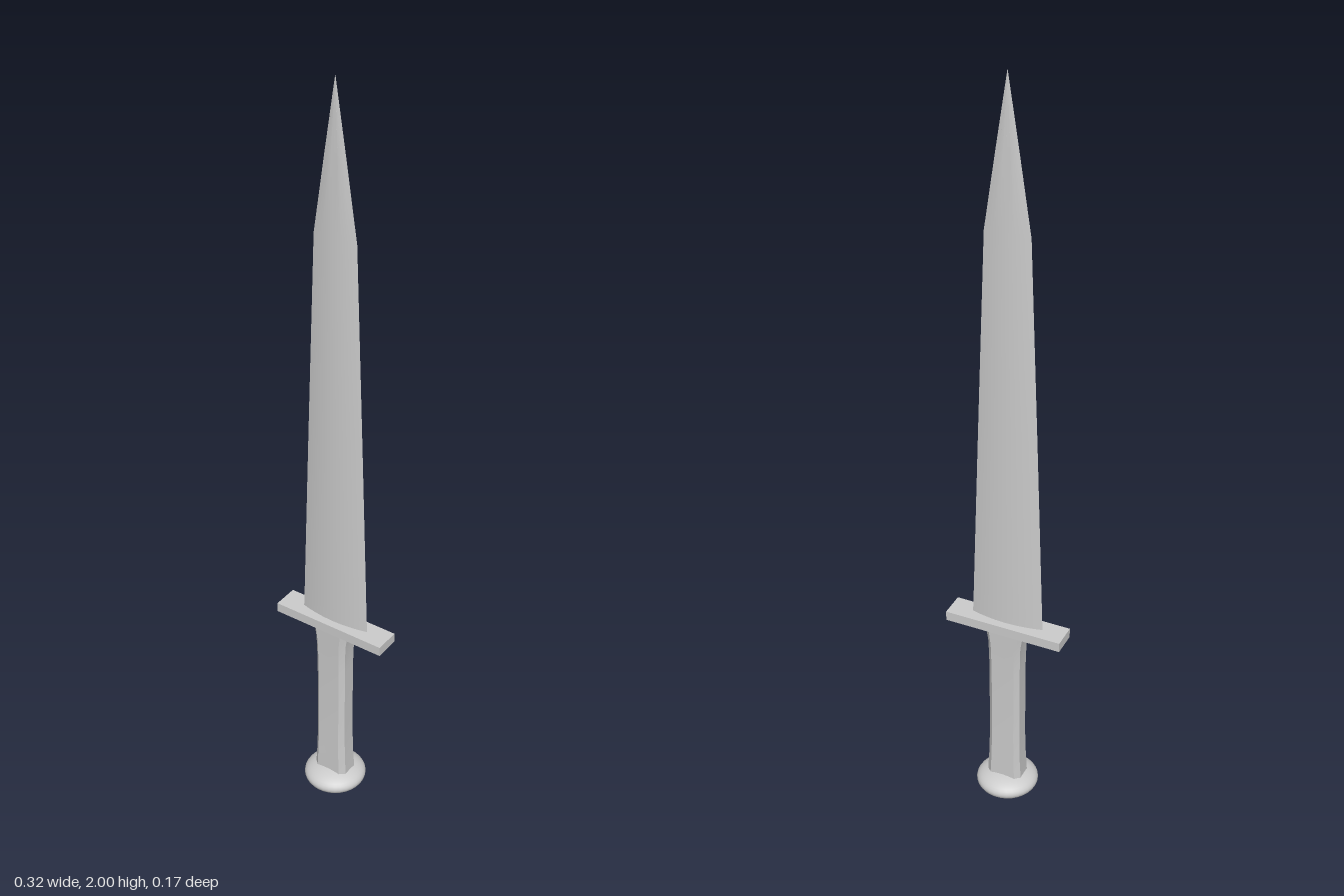
import * as THREE from 'three';
import { toCreasedNormals } from 'three/addons/utils/BufferGeometryUtils.js';

// Skins a closed outline through levels of [y, halfWidth, halfDepth], with end caps.
function loft(outline, levels, crease) {
  const n = outline.length, pos = [], idx = [];
  for (const [y, w, d] of levels)
    for (const [u, v] of outline) pos.push(u * w, y, -v * d);
  for (let i = 0; i < levels.length - 1; i++)
    for (let j = 0; j < n; j++) {
      const a = i * n + j, b = i * n + (j + 1) % n;
      idx.push(a, b, b + n, a, b + n, a + n);
    }
  const top = (levels.length - 1) * n;
  for (let j = 1; j < n - 1; j++) idx.push(0, j + 1, j, top, top + j, top + j + 1);
  const geo = new THREE.BufferGeometry();
  geo.setAttribute('position', new THREE.Float32BufferAttribute(pos, 3));
  geo.setIndex(idx);
  return toCreasedNormals(geo, crease);
}

export function createModel() {
  const group = new THREE.Group();
  const material = new THREE.MeshStandardMaterial({ color: 0xcccccc });
  const add = (name, geometry, y = 0) => {
    const mesh = new THREE.Mesh(geometry, material);
    mesh.name = name;
    mesh.position.y = y;
    group.add(mesh);
    return mesh;
  };

  // Blade: lens section with two sharp edges, tapering to a long point
  const lens = [];
  for (let i = 0; i < 20; i++) {
    const u = Math.cos(i / 20 * Math.PI * 2);
    lens.push([u, Math.sign(10 - i) * (1 - u * u)]);
  }
  add('blade', loft(lens, [
    [0.555, 0.098, 0.013], [0.6, 0.096, 0.013], [1.1, 0.078, 0.011],
    [1.63, 0.058, 0.008], [1.82, 0.029, 0.005], [2, 0.0005, 0.0005],
  ], 0.22));

  // Flat rectangular crossguard
  add('crossguard', new THREE.BoxGeometry(0.316, 0.026, 0.068), 0.553);

  // Grip: chamfered bar, slightly waisted and flared at both ends
  const bar = [
    [1, -0.6], [1, 0.6], [0.72, 1], [-0.72, 1],
    [-1, 0.6], [-1, -0.6], [-0.72, -1], [0.72, -1],
  ];
  add('grip', loft(bar, [
    [0.05, 0.049, 0.034], [0.12, 0.045, 0.033], [0.2, 0.043, 0.031],
    [0.42, 0.043, 0.031], [0.5, 0.045, 0.033], [0.545, 0.052, 0.034],
  ], 0.6));

  // Flattened round pommel
  const pommel = new THREE.SphereGeometry(0.083, 32, 20);
  pommel.scale(1, 0.42, 1);
  add('pommel', pommel, 0.036);

  return group;
}
